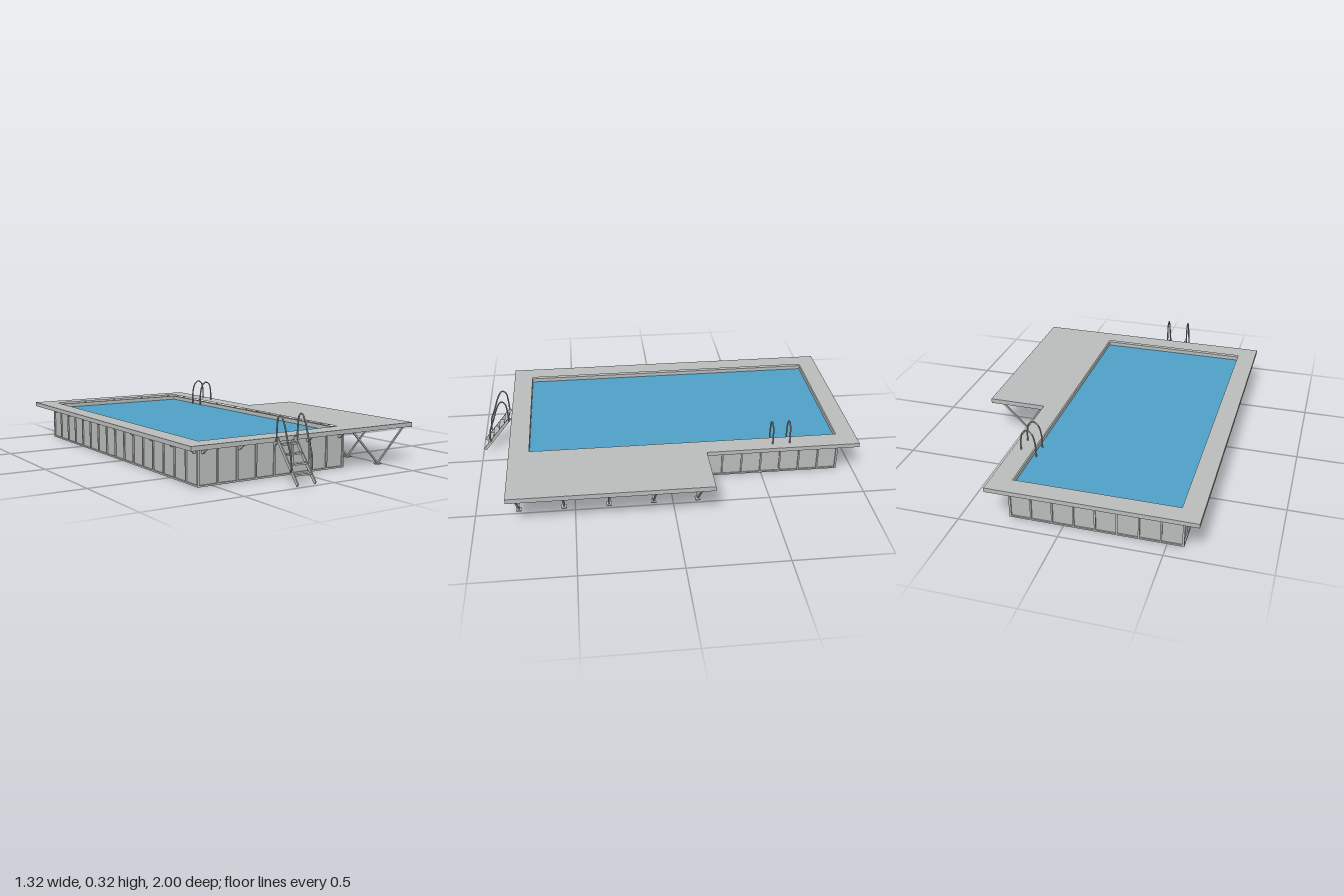
import * as THREE from 'three';

const mat = (name, color) => {
  const m = new THREE.MeshStandardMaterial({ color });
  m.name = name;
  return m;
};

export function createModel() {
  const root = new THREE.Group();
  root.name = 'raisedPool';
  const grey = mat('panelGrey', 0xb9bbba);
  const steel = mat('railSteel', 0xa2a4a4);
  const blue = mat('waterBlue', 0x4fa0c6);
  const navy = mat('linerNavy', 0x2c689e);

  const group = (name) => {
    const g = new THREE.Group();
    g.name = name;
    root.add(g);
    return g;
  };
  // box given by its minimum and maximum corners
  const box = (parent, name, [x0, y0, z0], [x1, y1, z1], m = grey) => {
    const mesh = new THREE.Mesh(new THREE.BoxGeometry(x1 - x0, y1 - y0, z1 - z0), m);
    mesh.position.set((x0 + x1) / 2, (y0 + y1) / 2, (z0 + z1) / 2);
    mesh.name = name;
    parent.add(mesh);
    return mesh;
  };
  // square bar between two points
  const beam = (parent, name, a, b, w, h = w, m = grey) => {
    const p = new THREE.Vector3(...a), q = new THREE.Vector3(...b);
    const mesh = new THREE.Mesh(new THREE.BoxGeometry(w, h, p.distanceTo(q)), m);
    mesh.position.copy(p).add(q).multiplyScalar(0.5);
    mesh.lookAt(q);
    mesh.name = name;
    parent.add(mesh);
  };
  const tube = (parent, name, pts) => {
    const curve = new THREE.CatmullRomCurve3(pts.map((p) => new THREE.Vector3(...p)));
    const mesh = new THREE.Mesh(new THREE.TubeGeometry(curve, 40, 0.004, 8), steel);
    mesh.name = name;
    parent.add(mesh);
  };

  const X0 = -0.58, X1 = 0.272, Z0 = -0.915, Z1 = 0.752; // tank outside
  const IX0 = -0.56, IX1 = 0.25, IZ0 = -0.9, IZ1 = 0.725; // pool opening
  const TOP = 0.205, UNDER = 0.183;

  // deck: L-shaped plate with the pool opening, and a rim under its edge
  const deck = group('deck');
  const outline = [[-0.66, -1], [0.355, -1], [0.355, -0.19], [0.66, -0.19], [0.66, 0.83], [-0.66, 0.83]];
  const shape = new THREE.Shape(outline.map(([x, z]) => new THREE.Vector2(x, -z)));
  shape.holes.push(new THREE.Path([[IX0, IZ0], [IX1, IZ0], [IX1, IZ1], [IX0, IZ1]]
    .map(([x, z]) => new THREE.Vector2(x, -z))));
  const plateGeo = new THREE.ExtrudeGeometry(shape, { depth: 0.01, bevelEnabled: false });
  plateGeo.rotateX(-Math.PI / 2).translate(0, TOP - 0.01, 0);
  const plate = new THREE.Mesh(plateGeo, grey);
  plate.name = 'deckPlate';
  deck.add(plate);
  const rim = (x0, z0, x1, z1, y = UNDER) => box(deck, 'deckRim', [x0, y, z0], [x1, TOP - 0.01, z1]);
  rim(-0.66, -1, -0.65, 0.83);
  rim(-0.65, -1, 0.355, -0.99);
  rim(0.345, -0.99, 0.355, -0.19);
  rim(0.345, -0.19, 0.66, -0.18, 0.18);
  rim(0.65, -0.18, 0.66, 0.83, 0.18);
  rim(-0.65, 0.82, 0.65, 0.83);
  // joists under the wide platform
  for (let i = 0; i < 9; i++) {
    const z = -0.13 + i * 0.114;
    box(deck, 'joist', [0.274, UNDER, z - 0.01], [0.65, TOP - 0.01, z + 0.01]);
  }

  // tank: recessed panels, ribs, bottom and top rails
  const tank = group('tank');
  const d = 0.007;
  box(tank, 'leftPanel', [IX1, 0.003, Z0 + d], [X1 - d, 0.196, Z1 - d]);
  box(tank, 'rightPanel', [X0 + d, 0.003, Z0 + d], [IX0, 0.196, Z1 - d]);
  box(tank, 'backPanel', [IX0, 0.003, Z0 + d], [IX1, 0.196, IZ0]);
  box(tank, 'frontPanel', [IX0, 0.003, IZ1], [IX1, 0.196, Z1 - d]);
  for (const [y0, y1] of [[0, 0.008], [0.182, 0.195]]) {
    box(tank, 'sideRail', [X0, y0, Z0], [X0 + 0.012, y1, Z1]);
    box(tank, 'sideRail', [X1 - 0.012, y0, Z0], [X1, y1, Z1]);
    box(tank, 'endRail', [X0, y0, Z0], [X1, y1, Z0 + 0.012]);
    box(tank, 'endRail', [X0, y0, Z1 - 0.012], [X1, y1, Z1]);
  }
  const r = 0.004;
  for (let i = 0; i <= 8; i++) {
    const x = X0 + r + (X1 - X0 - 2 * r) * i / 8;
    box(tank, 'frontRib', [x - r, 0, Z1 - 0.01], [x + r, 0.19, Z1]);
    box(tank, 'backRib', [x - r, 0, Z0], [x + r, 0.19, Z0 + 0.01]);
  }
  for (let i = 0; i <= 16; i++) {
    const z = Z0 + r + (Z1 - Z0 - 2 * r) * i / 16;
    box(tank, 'leftRib', [X1 - 0.01, 0, z - r], [X1, 0.19, z + r]);
    box(tank, 'rightRib', [X0, 0, z - r], [X0 + 0.01, 0.19, z + r]);
  }
  box(tank, 'poolFloor', [X0 + 0.006, 0.001, Z0 + 0.006], [X1 - 0.006, 0.006, Z1 - 0.006], navy);
  box(tank, 'floorLiner', [X0 + 0.008, -0.0003, Z0 + 0.008], [X1 - 0.008, 0.002, Z1 - 0.008], navy);
  box(tank, 'water', [IX0, 0.165, IZ0], [IX1, 0.175, IZ1], blue);

  // small diagonal brackets under the walkway
  const brackets = group('brackets');
  const bracket = (x, z, dx, dz) => {
    beam(brackets, 'bracket', [x, 0.155, z], [x + dx * 0.048, 0.19, z + dz * 0.048], 0.008);
    box(brackets, 'bracketPlate', [x - 0.005, 0.15, z - 0.005], [x + 0.005, 0.185, z + 0.005]);
  };
  for (let i = 0; i < 5; i++) {
    const x = -0.55 + i * 0.198;
    bracket(x, Z1, 0, 1);
    bracket(x, Z0, 0, -1);
  }
  for (let i = 0; i < 9; i++) {
    const z = -0.88 + i * 0.2;
    bracket(X0, z, -1, 0);
    if (i < 4) bracket(X1, z, 1, 0);
  }

  // V-shaped props with feet under the platform
  const props = group('platformProps');
  for (let i = 0; i < 5; i++) {
    const z = 0.785 - i * 0.2285;
    beam(props, 'strut', [0.295, 0.184, z], [0.47, 0.006, z], 0.008);
    beam(props, 'strut', [0.647, 0.184, z], [0.47, 0.006, z], 0.008);
    box(props, 'foot', [0.454, 0, z - 0.013], [0.486, 0.006, z + 0.013]);
  }

  // outside ladder: stringers, treads and handrails
  const ladder = group('outsideLadder');
  for (const s of [-1, 1]) {
    const x = -0.155 + s * 0.05;
    beam(ladder, 'stringer', [x, 0.008, 0.993], [x, 0.2, 0.838], 0.006, 0.016);
    const h = -0.155 + s * 0.06;
    tube(ladder, 'ladderHandrail', [[h, 0.065, 0.957], [h, 0.13, 0.953], [h, 0.2, 0.928], [h, 0.28, 0.9],
      [h, 0.312, 0.877], [h, 0.3, 0.857], [h, 0.25, 0.848], [h, 0.19, 0.845]]);
    for (const [y, z] of [[0.068, 0.95], [0.19, 0.845]]) {
      beam(ladder, 'handrailMount', [x, y, z], [h, y, z], 0.006, 0.006, steel);
    }
  }
  for (let i = 0; i < 4; i++) {
    const y = 0.05 + i * 0.0415, z = 0.959 - i * 0.0335;
    box(ladder, 'tread', [-0.203, y - 0.004, z - 0.012], [-0.107, y + 0.004, z + 0.012]);
  }

  // arched grab rails at the pool edge
  const grabs = group('poolGrabRails');
  for (const z of [-0.635, -0.545]) {
    tube(grabs, 'grabRail', [[0.232, 0.1, z], [0.233, 0.18, z], [0.236, 0.25, z], [0.25, 0.298, z],
      [0.276, 0.316, z], [0.3, 0.299, z], [0.31, 0.25, z], [0.31, 0.2, z]]);
  }
  return root;
}
